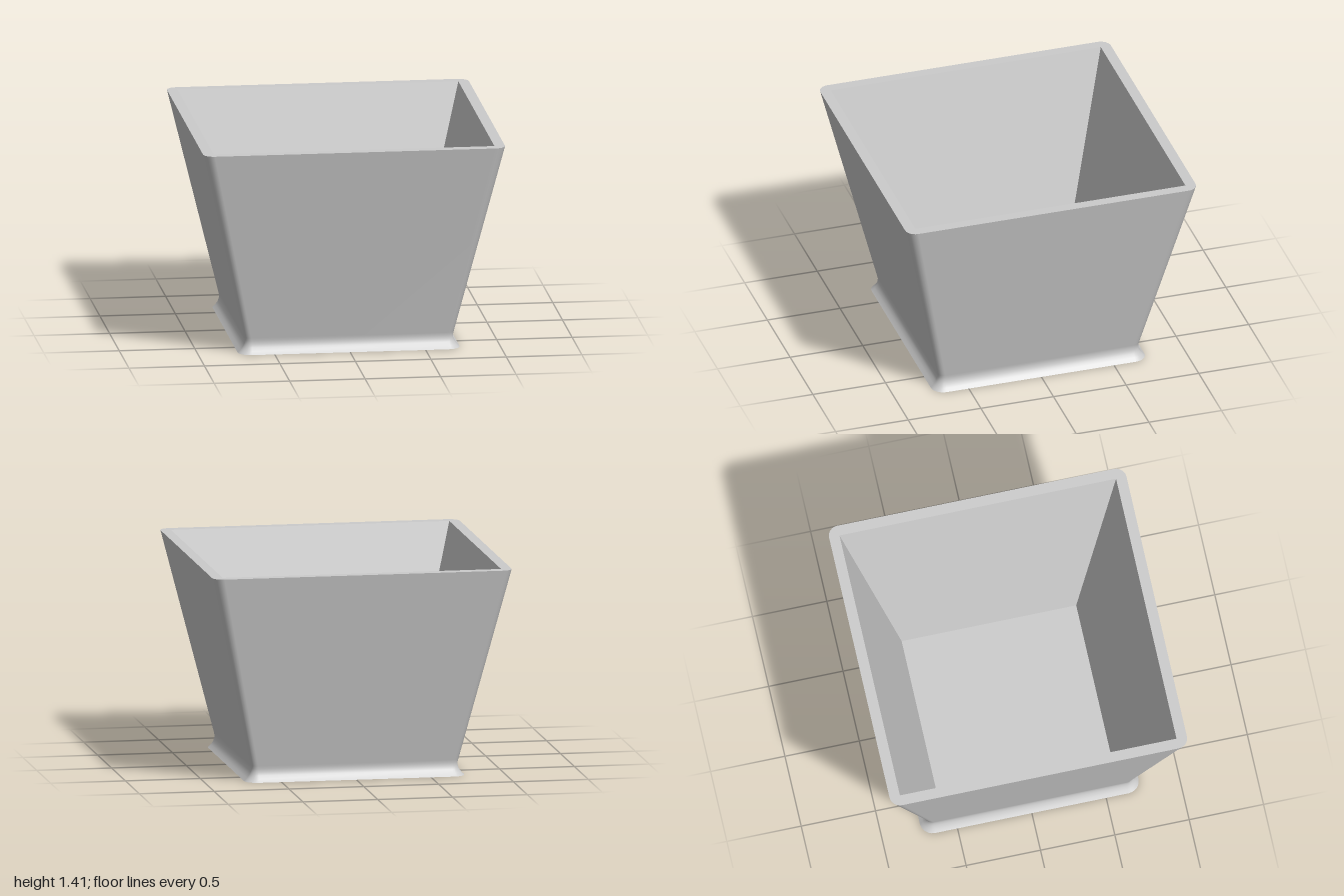
import * as THREE from 'three';

const TOP = 1.41, FLOOR = 0.1;
const RIM_OUT = 1, RIM_IN = 0.93, FLOOR_HALF = 0.587, RIM_RADIUS = 0.07;

// Points of a square with rounded corners, counter-clockwise; seg = 0 gives sharp corners
function squareLoop(half, radius, seg) {
  const points = [];
  for (let c = 0; c < 4; c++) {
    const mid = Math.PI / 4 + c * Math.PI / 2;
    const cx = Math.sign(Math.cos(mid)) * (half - radius);
    const cy = Math.sign(Math.sin(mid)) * (half - radius);
    for (let i = 0; i <= seg; i++) {
      const a = c * Math.PI / 2 + (seg ? i / seg : 0) * Math.PI / 2;
      points.push(new THREE.Vector2(cx + radius * Math.cos(a), cy + radius * Math.sin(a)));
    }
  }
  return points;
}

// Skin over stacked square sections [half width, y, corner radius], listed bottom to top
function loft(sections, seg, inward) {
  const position = [], index = [], n = 4 * (seg + 1);
  for (const [half, y, radius] of sections) {
    for (const p of squareLoop(half, radius, seg)) position.push(p.x, y, -p.y);
  }
  for (let s = 0; s < sections.length - 1; s++) {
    for (let i = 0; i < n; i++) {
      const a = s * n + i, b = s * n + (i + 1) % n, c = b + n, d = a + n;
      if (inward) index.push(a, c, b, a, d, c);
      else index.push(a, b, c, a, c, d);
    }
  }
  const geometry = new THREE.BufferGeometry();
  geometry.setAttribute('position', new THREE.Float32BufferAttribute(position, 3));
  geometry.setIndex(index);
  return geometry;
}

export function createModel() {
  const group = new THREE.Group();
  group.name = 'planter';
  const material = new THREE.MeshStandardMaterial({ color: 0xcccccc });
  const add = (name, geometry) => {
    const mesh = new THREE.Mesh(geometry, material);
    mesh.name = name;
    group.add(mesh);
  };

  // Tapered outer wall with a flared foot
  const outer = loft([
    [0.735, 0, 0.085], [0.715, 0.02, 0.068], [0.7, 0.042, 0.054],
    [0.693, 0.064, 0.047], [0.692, 0.085, 0.046], [0.696, 0.105, 0.046],
    [RIM_OUT, TOP, RIM_RADIUS],
  ], 6, false);
  outer.computeVertexNormals();
  add('outerWall', outer);

  // Sharp-cornered inner wall
  const inner = loft([[FLOOR_HALF, FLOOR, 0], [RIM_IN, TOP, 0]], 0, true).toNonIndexed();
  inner.computeVertexNormals();
  add('innerWall', inner);

  // Flat rim
  const rim = new THREE.Shape(squareLoop(RIM_OUT, RIM_RADIUS, 6));
  rim.holes.push(new THREE.Path(squareLoop(RIM_IN, 0, 0)));
  add('rim', new THREE.ShapeGeometry(rim).rotateX(-Math.PI / 2).translate(0, TOP, 0));

  // Inside floor
  add('floor', new THREE.PlaneGeometry(2 * FLOOR_HALF, 2 * FLOOR_HALF)
    .rotateX(-Math.PI / 2).translate(0, FLOOR, 0));

  // Underside
  const base = new THREE.Shape(squareLoop(0.735, 0.085, 6));
  add('underside', new THREE.ShapeGeometry(base).rotateX(Math.PI / 2));

  return group;
}
